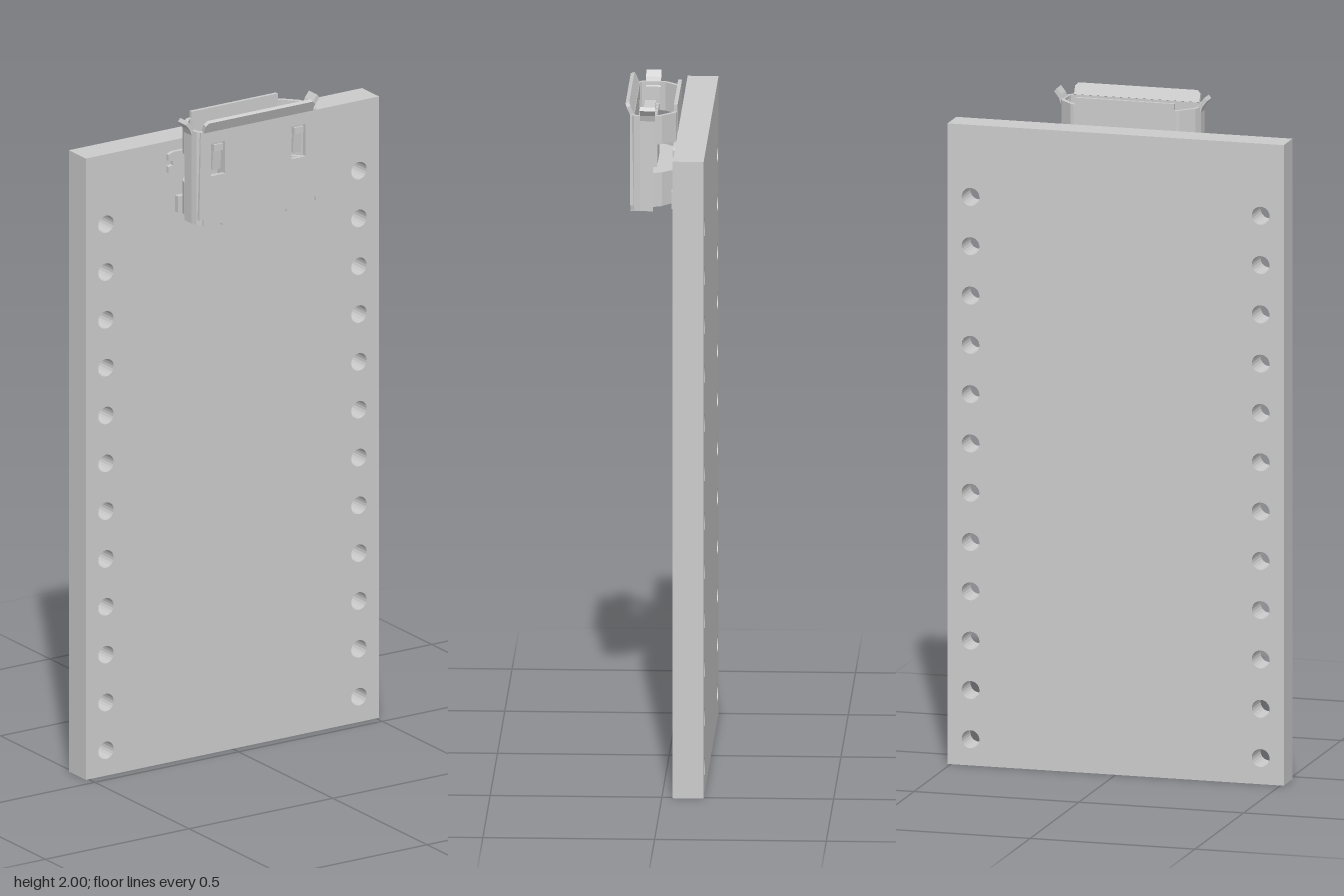
import * as THREE from 'three';

const mat = new THREE.MeshStandardMaterial({ color: 0xcccccc, side: THREE.DoubleSide, flatShading: true });
const T = 0.012; // sheet metal thickness

function add(group, name, geo) {
  const m = new THREE.Mesh(geo, mat);
  m.name = name;
  group.add(m);
  return m;
}

function box(group, name, x0, x1, y0, y1, z0, z1) {
  const m = add(group, name, new THREE.BoxGeometry(x1 - x0, y1 - y0, z1 - z0));
  m.position.set((x0 + x1) / 2, (y0 + y1) / 2, (z0 + z1) / 2);
  return m;
}

const toShape = pts => new THREE.Shape(pts.map(p => new THREE.Vector2(p[0], p[1])));

// upright prism from an outline of [x, z] points
function prism(pts, y0, y1) {
  const geo = new THREE.ExtrudeGeometry(toShape(pts.map(([x, z]) => [x, -z])), { depth: y1 - y0, bevelEnabled: false });
  return geo.rotateX(-Math.PI / 2).translate(0, y0, 0);
}

// plate facing +z from an outline of [x, y] points
function plate(shape, z0, z1) {
  return new THREE.ExtrudeGeometry(shape, { depth: z1 - z0, bevelEnabled: false, curveSegments: 10 }).translate(0, 0, z0);
}

// outline of a sheet strip: the path plus its inward offset
function strip(path) {
  const inner = path.map((p, i) => {
    const a = path[Math.max(i - 1, 0)], b = path[Math.min(i + 1, path.length - 1)];
    const dx = b[0] - a[0], dz = b[1] - a[1], l = Math.hypot(dx, dz);
    return [p[0] - (dz / l) * T, p[1] + (dx / l) * T];
  });
  return [...path, ...inner.reverse()];
}
const mirror = (pts, s) => pts.map(([x, z]) => [x * s, z]);

function createBoard() {
  const shape = toShape([[-0.51, 0], [0.51, 0], [0.51, 1.91], [-0.51, 1.91]]);
  for (const x of [-0.44, 0.44]) {
    for (let i = 0; i < 12; i++) {
      const hole = new THREE.Path();
      hole.absarc(x, 0.078 + i * 0.147, 0.027, 0, Math.PI * 2, true);
      shape.holes.push(hole);
    }
  }
  const g = new THREE.Group();
  g.name = 'board';
  add(g, 'drilledBoard', plate(shape, -0.122, -0.032));
  return g;
}

function createSocket() {
  const g = new THREE.Group();
  g.name = 'socket';

  // front sheet with two spring windows and a stepped lower edge
  const front = toShape([
    [-0.2, 1.97], [-0.205, 1.7], [-0.19, 1.7], [-0.19, 1.68], [-0.125, 1.68], [-0.125, 1.672], [-0.1, 1.672], [-0.1, 1.68],
    [0.1, 1.68], [0.1, 1.672], [0.125, 1.672], [0.125, 1.68], [0.19, 1.68], [0.19, 1.7], [0.205, 1.7], [0.2, 1.97],
  ]);
  for (const x of [-0.14, 0.14]) {
    const w = new THREE.Path();
    w.setFromPoints([[x - 0.024, 1.83], [x - 0.024, 1.93], [x + 0.024, 1.93], [x + 0.024, 1.83]].map(p => new THREE.Vector2(...p)));
    front.holes.push(w);
    const spring = box(g, 'latchSpring', x - 0.014, x + 0.014, 1.845, 1.93, 0.09, 0.099);
    spring.rotation.x = 0.08;
    box(g, 'latchBump', x - 0.016, x + 0.016, 1.905, 1.925, 0.092, 0.108);
  }
  add(g, 'frontSheet', plate(front, 0.093, 0.105));

  // back sheet and raised back lip
  box(g, 'backSheet', -0.155, 0.155, 1.7, 1.97, -0.031, -0.02);
  box(g, 'backLip', -0.15, 0.15, 1.97, 1.99, -0.031, -0.02);

  // side walls, cut open by a window at the back half
  const side = [[0.15, -0.031], [0.165, -0.027], [0.203, 0.012], [0.212, 0.035], [0.212, 0.075], [0.207, 0.093], [0.195, 0.105]];
  const sideFront = [[0.212, 0.038], ...side.slice(4)];
  for (const s of [1, -1]) {
    add(g, 'lowerSideWall', prism(mirror(strip(side), s), 1.7, 1.8));
    add(g, 'middleSideWall', prism(mirror(strip(sideFront), s), 1.8, 1.885));
    add(g, 'upperSideWall', prism(mirror(strip(side), s), 1.885, 1.97));
    add(g, 'sideSkirt', prism(mirror(strip(sideFront), s), 1.685, 1.7));

    // flared side lip
    const flare = [[0.198, 1.955], [0.212, 1.955], [0.218, 1.972], [0.232, 1.99], [0.224, 2], [0.21, 1.982]];
    add(g, 'sideLip', plate(toShape(mirror(flare, s)), 0.032, 0.076));

    // forked solder foot
    const foot = [[0.15, 1.81], [0.215, 1.81], [0.23, 1.815], [0.23, 1.835], [0.215, 1.838], [0.215, 1.85],
      [0.23, 1.853], [0.23, 1.872], [0.215, 1.878], [0.15, 1.878]];
    add(g, 'solderFoot', plate(toShape(mirror(foot, s)), -0.032, -0.02));
    box(g, 'rearFoot', s * 0.175 - 0.025, s * 0.175 + 0.025, 1.69, 1.74, -0.032, -0.015);
  }

  // flared front lip with clipped corners
  const lip = add(g, 'frontLip', plate(toShape([[-0.19, 0], [0.19, 0], [0.19, 0.026], [0.18, 0.036], [-0.18, 0.036], [-0.19, 0.026]]), -T, 0));
  lip.position.set(0, 1.966, 0.105);
  lip.rotation.x = 0.42;

  // insulating body closing the lower end
  const half = [[0.145, -0.02], [0.19, 0.015], [0.2, 0.037], [0.2, 0.075], [0.185, 0.093]];
  add(g, 'insulator', prism([...half, ...mirror(half, -1).reverse()], 1.695, 1.785));

  // contact tongue with five contacts, and the solder pins below
  box(g, 'tongue', -0.1, 0.1, 1.78, 1.94, 0.042, 0.074);
  for (let i = -2; i <= 2; i++) {
    const x = i * 0.037;
    box(g, 'contact', x - 0.009, x + 0.009, 1.785, 1.935, 0.032, 0.043);
    box(g, 'solderPin', x - 0.006, x + 0.006, 1.66, 1.7, -0.031, -0.021);
  }
  return g;
}

export function createModel() {
  const model = new THREE.Group();
  model.name = 'breakoutBoard';
  model.add(createBoard(), createSocket());
  return model;
}
